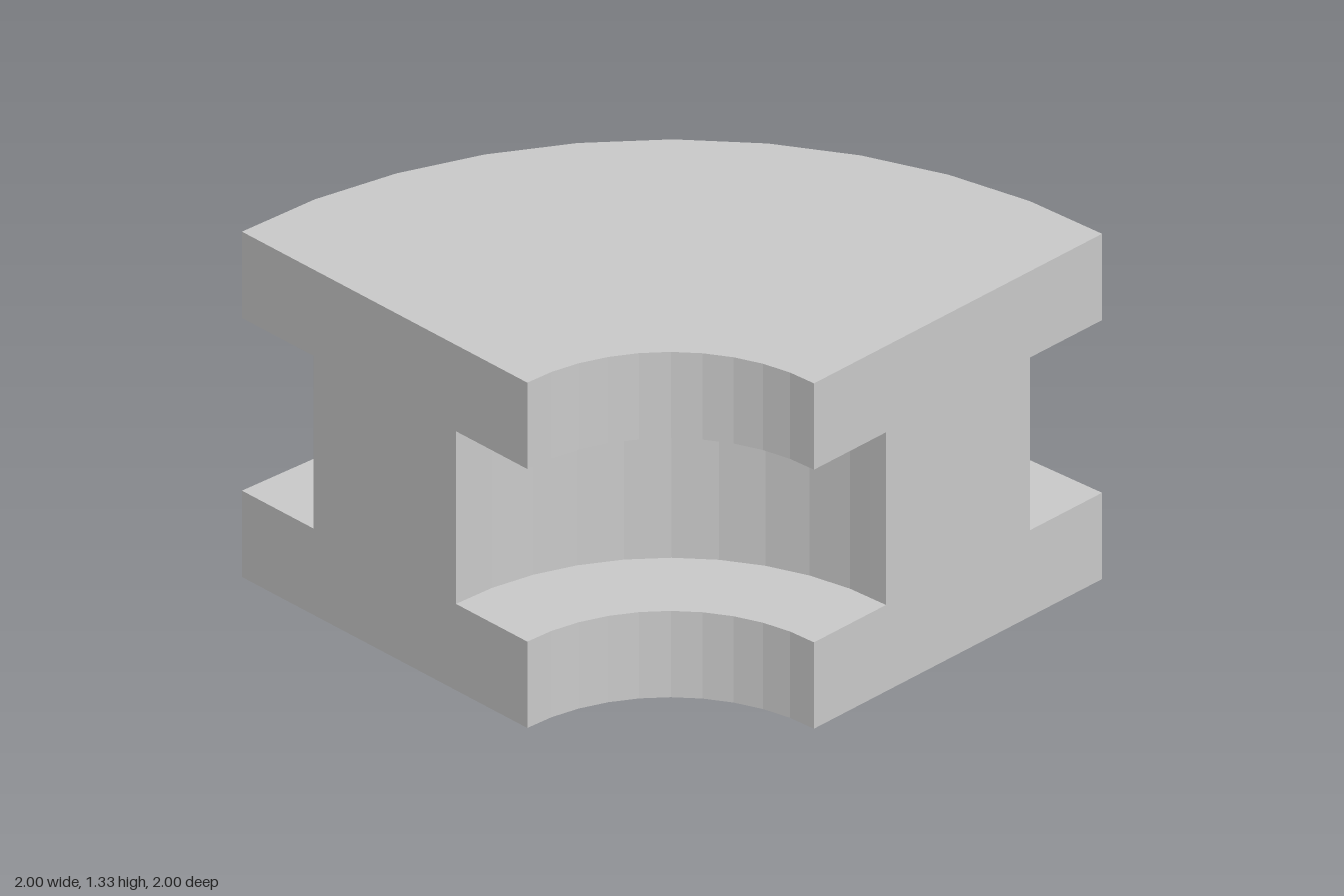
import * as THREE from 'three';

// I-shaped cross-section as [radius, height], counter-clockwise
const T = 1 / 3;
const PROFILE = [
  [2 * T, 0], [6 * T, 0], [6 * T, T], [5 * T, T], [5 * T, 3 * T], [6 * T, 3 * T],
  [6 * T, 4 * T], [2 * T, 4 * T], [2 * T, 3 * T], [3 * T, 3 * T], [3 * T, T], [2 * T, T],
].map(([r, y]) => new THREE.Vector2(r, y));

export function createModel() {
  const group = new THREE.Group();
  group.name = 'quarterRingBeam';
  const material = new THREE.MeshStandardMaterial({ color: 0xcccccc, flatShading: true });

  const add = (name, geometry) => {
    const mesh = new THREE.Mesh(geometry, material);
    mesh.name = name;
    mesh.position.set(-1, 0, 1); // centre of the arc
    group.add(mesh);
    return mesh;
  };

  // Flanges and web swept through a quarter turn
  add('curvedBeam', new THREE.LatheGeometry([...PROFILE, PROFILE[0]], 10, Math.PI / 2, Math.PI / 2));

  // Flat cut faces closing both ends
  add('frontEndFace', new THREE.ShapeGeometry(new THREE.Shape(PROFILE)));
  const mirrored = PROFILE.map((p) => new THREE.Vector2(-p.x, p.y));
  add('rightEndFace', new THREE.ShapeGeometry(new THREE.Shape(mirrored))).rotation.y = -Math.PI / 2;

  return group;
}
